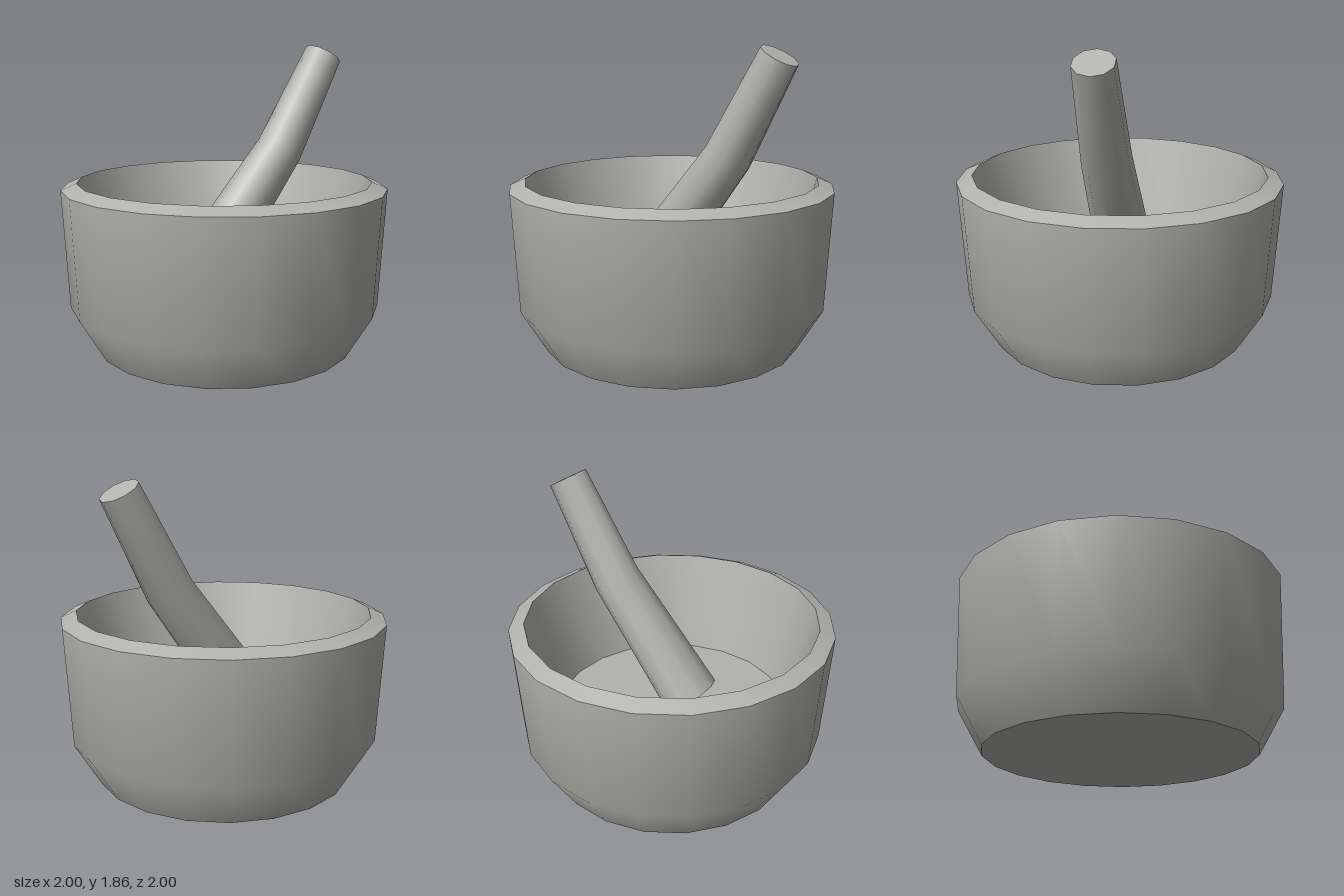
import * as THREE from 'three';
import { toCreasedNormals } from 'three/addons/utils/BufferGeometryUtils.js';

export function createModel() {
  const group = new THREE.Group();
  const stone = new THREE.MeshStandardMaterial({ color: 0xb2b2ad });
  stone.name = 'stone grey';

  const add = (name, geometry, crease) => {
    const mesh = new THREE.Mesh(toCreasedNormals(geometry, crease), stone);
    mesh.name = name;
    group.add(mesh);
  };

  // Mortar bowl: base, outer wall, sloped rim, inner wall and floor
  const profile = [
    [0, 0], [0.8, 0], [0.96, 0.27], [1, 1], [0.905, 1.04], [0.735, 0.4], [0, 0.4],
  ].map(([r, y]) => new THREE.Vector2(r, y));
  add('mortarBowl', new THREE.LatheGeometry(profile, 20), 0.7);

  // Pestle: a bent, tapering ten-sided rod resting on the bowl floor
  const stations = [ // centre x, y; sideways axis x, y; depth radius
    { c: [-0.14, 0.5], side: [0.145, -0.11], depth: 0.184 },
    { c: [0.402, 1.203], side: [0.122, -0.082], depth: 0.148 },
    { c: [0.73, 1.803], side: [0.105, -0.058], depth: 0.12 },
  ];
  const rod = new THREE.CylinderGeometry(1, 1, 2, 10, 2, false, Math.PI / 2);
  const pos = rod.attributes.position;
  for (let i = 0; i < pos.count; i++) {
    const { c, side, depth } = stations[Math.round(pos.getY(i)) + 1];
    const x = pos.getX(i);
    pos.setXYZ(i, c[0] + side[0] * x, c[1] + side[1] * x, pos.getZ(i) * depth);
  }
  add('pestle', rod, 0.9);

  return group;
}
